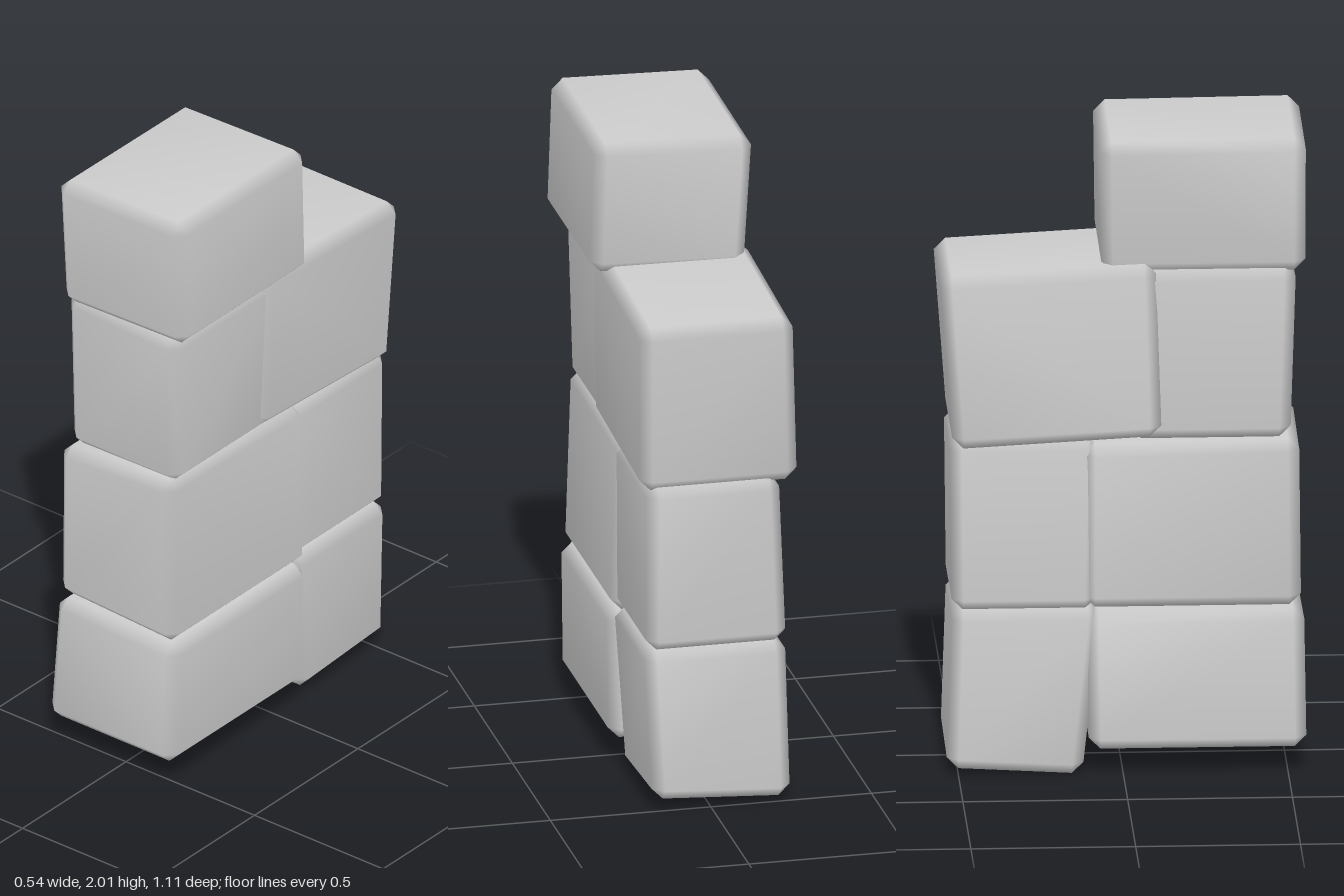
import * as THREE from 'three';
import { ConvexGeometry } from 'three/addons/geometries/ConvexGeometry.js';
import { mergeVertices } from 'three/addons/utils/BufferGeometryUtils.js';

const BEVEL = 0.035;

// Each rough block: bottom and top outlines [x0, x1, z0, z1], heights y0 to y1,
// and the rise of bottom / top across the block towards +x and +z.
const BLOCKS = [
  { name: 'bottomFrontBlock', y: [0.08, 0.505], bottom: [-0.27, 0.22, -0.105, 0.555], top: [-0.245, 0.225, -0.11, 0.55], topTilt: [-0.01, 0] },
  { name: 'bottomBackBlock', y: [0.017, 0.52], bottom: [-0.245, 0.185, -0.535, -0.12], top: [-0.235, 0.205, -0.52, -0.07], bottomTilt: [0.02, -0.02] },
  { name: 'lowerFrontBlock', y: [0.51, 1.05], bottom: [-0.24, 0.215, -0.12, 0.54], top: [-0.24, 0.2, -0.12, 0.535], bottomTilt: [-0.02, 0], topTilt: [0.02, 0.01] },
  { name: 'lowerBackBlock', y: [0.515, 1.05], bottom: [-0.235, 0.2, -0.52, -0.08], top: [-0.215, 0.2, -0.525, -0.07] },
  { name: 'upperFrontBlock', y: [1.045, 1.575], bottom: [-0.22, 0.2, 0.02, 0.51], top: [-0.22, 0.21, 0.02, 0.525], topTilt: [-0.015, 0] },
  { name: 'upperBackBlock', y: [1.05, 1.59], bottom: [-0.27, 0.22, -0.52, 0.115], top: [-0.25, 0.228, -0.555, 0.1], bottomTilt: [0, 0.03], topTilt: [0, 0.03] },
  { name: 'topBlock', y: [1.575, 1.995], bottom: [-0.215, 0.267, -0.065, 0.555], top: [-0.235, 0.255, -0.07, 0.555], bottomTilt: [0.01, 0], topTilt: [0.01, 0.005] },
];

// Three points per corner, one on each adjoining face, give chamfered edges
function chamferedBlock({ y, bottom, top, bottomTilt = [0, 0], topTilt = [0, 0] }) {
  const points = [];
  for (const sx of [-1, 1]) for (const sy of [-1, 1]) for (const sz of [-1, 1]) {
    const outline = sy < 0 ? bottom : top;
    const tilt = sy < 0 ? bottomTilt : topTilt;
    const corner = new THREE.Vector3(
      sx < 0 ? outline[0] : outline[1],
      (sy < 0 ? y[0] : y[1]) + (sx * tilt[0] + sz * tilt[1]) / 2,
      sz < 0 ? outline[2] : outline[3]
    );
    const inward = new THREE.Vector3(-sx, -sy, -sz).multiplyScalar(BEVEL);
    for (const axis of ['x', 'y', 'z']) {
      const offset = inward.clone();
      offset[axis] = 0;
      points.push(corner.clone().add(offset));
    }
  }
  // Shared vertices give the soft, worn shading
  const hull = new ConvexGeometry(points);
  hull.deleteAttribute('normal');
  const geometry = mergeVertices(hull, 1e-4);
  geometry.computeVertexNormals();
  return geometry;
}

export function createModel() {
  const model = new THREE.Group();
  model.name = 'blockStack';
  const material = new THREE.MeshStandardMaterial({ color: 0xcccccc });
  for (const block of BLOCKS) {
    const mesh = new THREE.Mesh(chamferedBlock(block), material);
    mesh.name = block.name;
    model.add(mesh);
  }
  return model;
}
